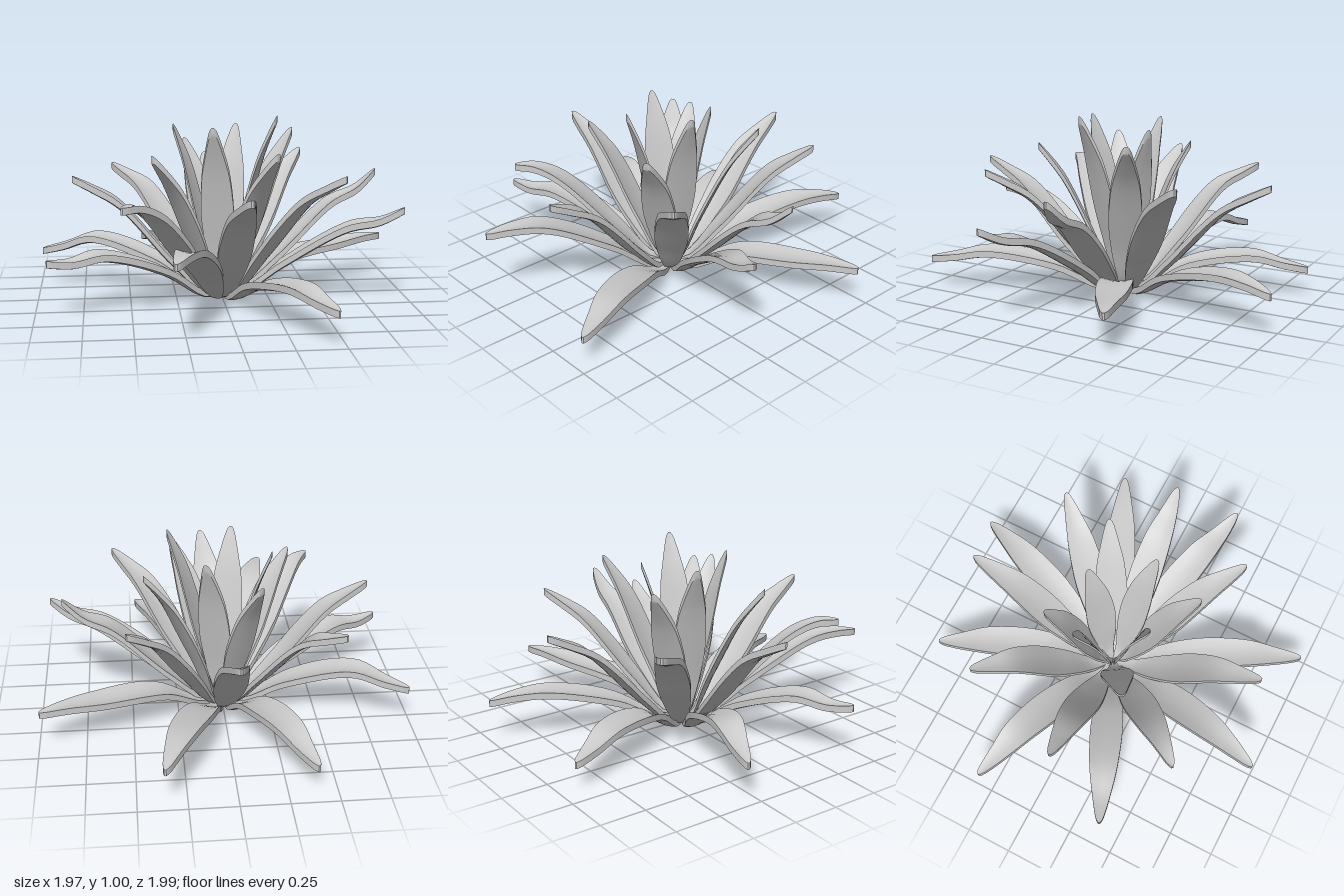
import * as THREE from 'three';
import { toCreasedNormals } from 'three/addons/utils/BufferGeometryUtils.js';

const STEPS = 24;
const HALF_WIDTH = 0.089;
const THICKNESS = 0.036;
const CUP = 0.018; // how far the edges rise above the midline

// Leaf outline: [position along the leaf, share of full width]
const OUTLINE = [[0, 0.14], [0.15, 0.48], [0.3, 0.8], [0.5, 1], [0.7, 0.87], [0.85, 0.57], [0.94, 0.34], [0.98, 0.21], [1, 0.06]];
const outline = new THREE.CatmullRomCurve3(OUTLINE.map(([t, w]) => new THREE.Vector3(t, w, 0)));
const outlinePoints = outline.getPoints(120);

function widthAt(t) {
  const i = Math.max(1, outlinePoints.findIndex((p) => p.x >= t - 1e-6));
  const a = outlinePoints[i - 1], b = outlinePoints[i];
  return THREE.MathUtils.mapLinear(t, a.x, b.x, a.y, b.y);
}

// Leaves of each tier: tip x, tip z, tip y, then heights at 35%, 70% and (if curled) 87% of the reach
const TIERS = {
  outerLeaf: [
    [0.36, -1, 0.22, 0.16, 0.25, 0.245], [-0.40, -0.92, 0.14, 0.16, 0.21],
    [0.985, -0.43, 0.22, 0.16, 0.205, 0.22], [-0.985, -0.32, 0.20, 0.18, 0.29],
    [0.94, 0.30, 0.515, 0.20, 0.41, 0.45], [-0.93, 0.40, 0.295, 0.18, 0.30, 0.28],
    [-0.31, 0.99, 0.41, 0.21, 0.40, 0.42], [0.46, 0.97, 0.16, 0.14, 0.205],
  ],
  middleLeaf: [
    [0.855, -0.04, 0.67, 0.21, 0.50, 0.57], [-0.80, 0.05, 0.67, 0.21, 0.53],
    [0.06, 0.84, 0.67, 0.21, 0.53], [-0.02, -0.84, 0.66, 0.21, 0.52],
    [0.585, 0.50, 0.72, 0.26, 0.58], [0.52, -0.56, 0.72, 0.25, 0.57],
    [-0.585, -0.54, 0.65, 0.24, 0.55], [-0.55, 0.63, 0.605, 0.24, 0.53, 0.6],
  ],
  innerLeaf: [
    [0.42, -0.24, 0.88], [-0.18, -0.31, 0.82], [0.10, -0.20, 0.91], [-0.255, -0.09, 0.925],
    [-0.385, 0.25, 0.80], [-0.07, 0.24, 0.94], [0.285, 0.11, 0.985], [0.255, 0.385, 0.82],
  ],
};

// Lofts a cupped cross-section, cut vertically at its edges, along the leaf's spine
function leafGeometry([x, z, y, low = y * 0.36, high = y * 0.77, near = high + (y - high) * 0.6]) {
  const h = THICKNESS / 2;
  const heights = [[0, h], [0.12, low * 0.17], [0.35, low], [0.7, high], [0.87, near], [1, y]];
  const spine = new THREE.CatmullRomCurve3(heights.map(([f, v]) => new THREE.Vector3(x * f, v, z * f)));
  const side = new THREE.Vector3(z, 0, -x).normalize();
  const across = [-1, -0.5, 0, 0.5, 1];
  const section = [...across.map((s) => [s, h]), ...across.map((s) => [-s, -h])];
  const count = section.length;
  const positions = [], index = [];

  for (let i = 0; i <= STEPS; i++) {
    const t = 1 - (1 - i / STEPS) ** 1.35; // closer rings near the tip
    const p = spine.getPointAt(t);
    const share = widthAt(t);
    for (const [s, v] of section) {
      const offset = s * HALF_WIDTH * share;
      const rise = CUP * share * (s * s - 0.5);
      positions.push(p.x + side.x * offset, Math.max(0, p.y + v + rise), p.z + side.z * offset);
    }
  }
  for (let i = 0; i < STEPS; i++) {
    for (let j = 0; j < count; j++) {
      const a = i * count + j, b = i * count + ((j + 1) % count);
      index.push(a, b, b + count, a, b + count, a + count);
    }
  }
  // End caps
  const e = STEPS * count;
  for (let j = 0; j < 4; j++) {
    const k = count - 1 - j;
    index.push(j, k, j + 1, j + 1, k, k - 1);
    index.push(e + j, e + j + 1, e + k, e + j + 1, e + k - 1, e + k);
  }
  const geometry = new THREE.BufferGeometry();
  geometry.setAttribute('position', new THREE.Float32BufferAttribute(positions, 3));
  geometry.setIndex(index);
  return toCreasedNormals(geometry, 0.7);
}

export function createModel() {
  const plant = new THREE.Group();
  plant.name = 'rosettePlant';
  const material = new THREE.MeshStandardMaterial({ color: 0xcccccc, side: THREE.DoubleSide });

  for (const [name, leaves] of Object.entries(TIERS)) {
    const tier = new THREE.Group();
    tier.name = name + 'Tier';
    leaves.forEach((leaf, i) => {
      const mesh = new THREE.Mesh(leafGeometry(leaf), material);
      mesh.name = name + (i + 1);
      tier.add(mesh);
    });
    plant.add(tier);
  }
  return plant;
}
